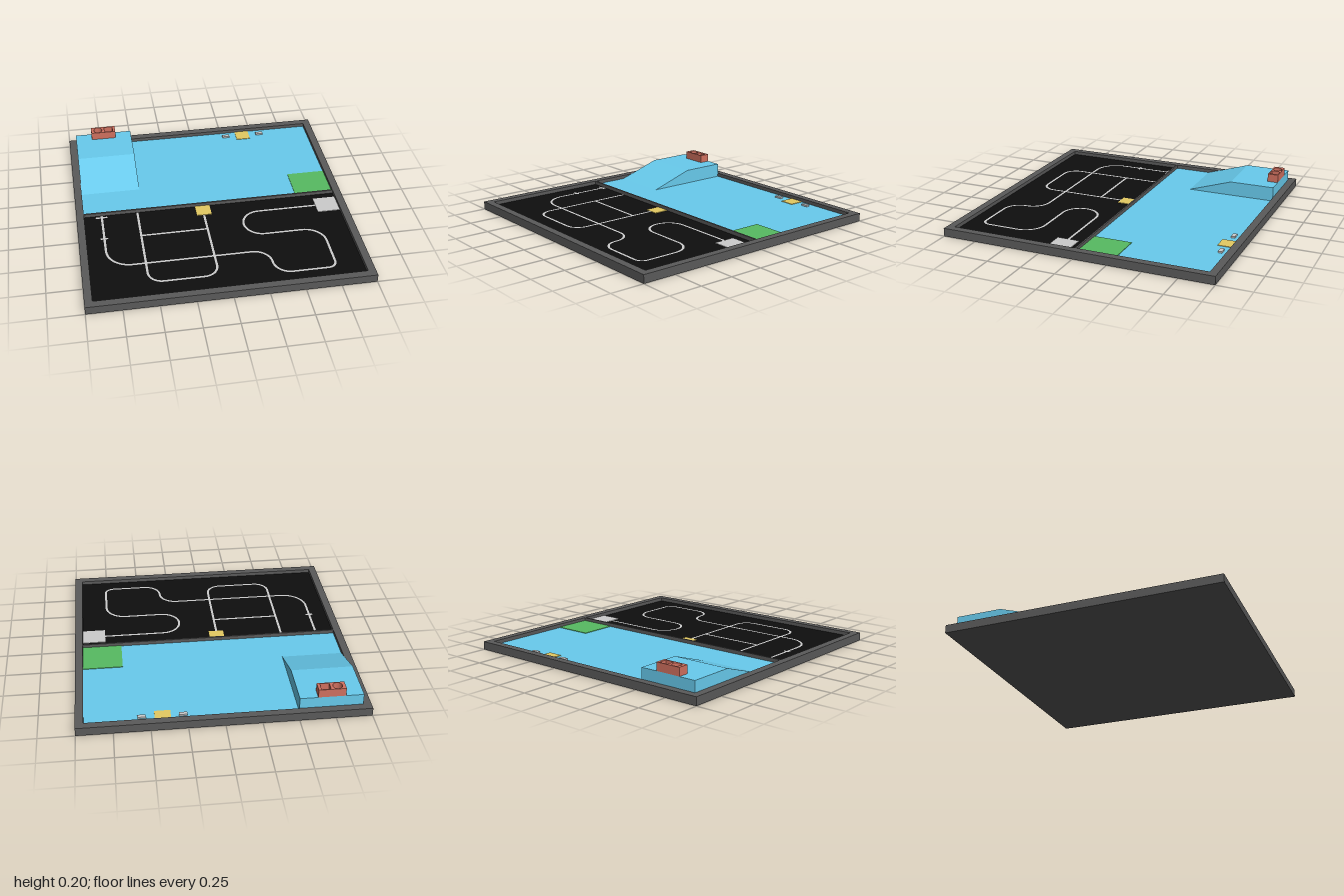
import * as THREE from 'three';

const INNER = 0.945, FLOOR = 0.033, RIM = 0.06;
const mat = (color, side = THREE.FrontSide) => new THREE.MeshStandardMaterial({ color, side });
const frameMat = mat(0x5a5a5a), blue = mat(0x68cbed), black = mat(0x0e0e0e), red = mat(0xd0705f);
const yellow = mat(0xe4ca62), green = mat(0x57ba62), grey = mat(0xcccccc);
const lineMat = mat(0xcccccc, THREE.DoubleSide);

export function createModel() {
  const model = new THREE.Group();
  const add = (name, geometry, material) => {
    const mesh = new THREE.Mesh(geometry, material);
    mesh.name = name;
    model.add(mesh);
    return mesh;
  };
  // Box given by its extents
  const box = (name, x0, x1, y0, y1, z0, z1, material) => {
    const m = add(name, new THREE.BoxGeometry(x1 - x0, y1 - y0, z1 - z0), material);
    m.position.set((x0 + x1) / 2, (y0 + y1) / 2, (z0 + z1) / 2);
    return m;
  };
  const rect = (T, x0, x1, y0, y1) =>
    new T([[x0, y0], [x1, y0], [x1, y1], [x0, y1]].map(([x, y]) => new THREE.Vector2(x, y)));

  // Tray: square rim, base plate, divider and the two playing floors
  const rimShape = rect(THREE.Shape, -1, 1, -1, 1);
  rimShape.holes.push(rect(THREE.Path, -INNER, INNER, -INNER, INNER));
  const rim = new THREE.ExtrudeGeometry(rimShape, { depth: RIM, bevelEnabled: false });
  add('rim', rim.rotateX(-Math.PI / 2), frameMat);
  box('basePlate', -INNER, INNER, 0, 0.02, -INNER, INNER, frameMat);
  box('divider', -INNER, INNER, 0.02, RIM, -0.006, 0.006, frameMat);
  box('blueFloor', -INNER, INNER, 0.02, FLOOR, -INNER, -0.006, blue);
  box('blackFloor', -INNER, INNER, 0.02, FLOOR, 0.006, INNER, black);

  // Ramp with a flat platform, side profile extruded across x
  const profile = new THREE.Shape([[0.28, FLOOR], [INNER, FLOOR], [INNER, 0.14], [0.61, 0.14]]
    .map(([x, y]) => new THREE.Vector2(x, y)));
  const ramp = add('ramp', new THREE.ExtrudeGeometry(profile, { depth: 0.44, bevelEnabled: false }), blue);
  ramp.rotation.y = Math.PI / 2;
  ramp.position.x = -INNER;

  // Block with a round and a square socket
  const blockShape = rect(THREE.Shape, -0.82, -0.63, 0.865, INNER);
  const round = new THREE.Path();
  round.absarc(-0.766, 0.905, 0.033, 0, Math.PI * 2, true);
  blockShape.holes.push(round, rect(THREE.Path, -0.715, -0.65, 0.873, 0.937));
  const block = new THREE.ExtrudeGeometry(blockShape, { depth: 0.06, bevelEnabled: false, curveSegments: 16 });
  add('socketBlock', block.rotateX(-Math.PI / 2), red).position.y = 0.14;

  // Coloured zones
  const pad = (name, x0, x1, z0, z1, material) =>
    box(name, x0, x1, FLOOR - 0.005, FLOOR + 0.004, z0, z1, material);
  pad('greenZone', 0.66, INNER, -0.285, -0.006, green);
  pad('backYellowZone', 0.36, 0.47, -INNER, -0.835, yellow);
  pad('frontYellowZone', -0.117, -0.007, 0.006, 0.117, yellow);
  pad('greyZone', 0.777, INNER, 0.057, 0.22, grey);
  for (const x of [0.277, 0.557]) {
    box('smallBlock', x - 0.028, x + 0.028, FLOOR, FLOOR + 0.012, -0.905, -0.877, grey);
  }

  // Flat track line through [x, z, cornerRadius] points
  const track = (name, corners, width = 0.016) => {
    const pts = [];
    corners.forEach(([x, z, r], i) => {
      const p = new THREE.Vector2(x, z);
      if (!r) return pts.push(p);
      const towards = (a, b) => new THREE.Vector2(b[0] - a[0], b[1] - a[1]).normalize();
      const d1 = towards(corners[i - 1], corners[i]), d2 = towards(corners[i], corners[i + 1]);
      for (let k = 0; k <= 12; k++) {
        const t = k / 12 * Math.PI / 2;
        pts.push(p.clone().addScaledVector(d1, r * (Math.sin(t) - 1))
          .addScaledVector(d2, r * (1 - Math.cos(t))));
      }
    });
    const position = [], index = [];
    pts.forEach((p, i) => {
      const d = pts[Math.min(i + 1, pts.length - 1)].clone().sub(pts[Math.max(i - 1, 0)]).normalize();
      for (const s of [-width / 2, width / 2]) position.push(p.x - d.y * s, FLOOR + 0.002, p.y + d.x * s);
      const a = 2 * i;
      if (i < pts.length - 1) index.push(a, a + 2, a + 1, a + 1, a + 2, a + 3);
    });
    const g = new THREE.BufferGeometry();
    g.setAttribute('position', new THREE.Float32BufferAttribute(position, 3));
    g.setAttribute('normal', new THREE.Float32BufferAttribute(position.map((_, i) => i % 3 === 1 ? 1 : 0), 3));
    // Reversed triangles make the upper side the front
    for (let i = 0; i < index.length; i += 3) [index[i + 1], index[i + 2]] = [index[i + 2], index[i + 1]];
    g.setIndex(index);
    add(name, g, lineMat);
  };
  track('windingTrack', [[-0.815, 0.008], [-0.815, 0.59, 0.17], [0.325, 0.59, 0.125], [0.325, 0.84, 0.12],
    [0.757, 0.84, 0.06], [0.757, 0.405, 0.145], [0.205, 0.405, 0.133], [0.205, 0.137, 0.133], [0.78, 0.137]]);
  track('loopTrack', [[-0.55, 0.008], [-0.55, 0.795, 0.1], [-0.065, 0.795, 0.1], [-0.065, 0.11]]);
  track('crossTrack', [[-0.55, 0.283], [-0.065, 0.283]]);
  track('startMark', [[-0.86, 0.03], [-0.775, 0.03]]);
  track('secondMark', [[-0.842, 0.277], [-0.788, 0.277]]);

  return model;
}
